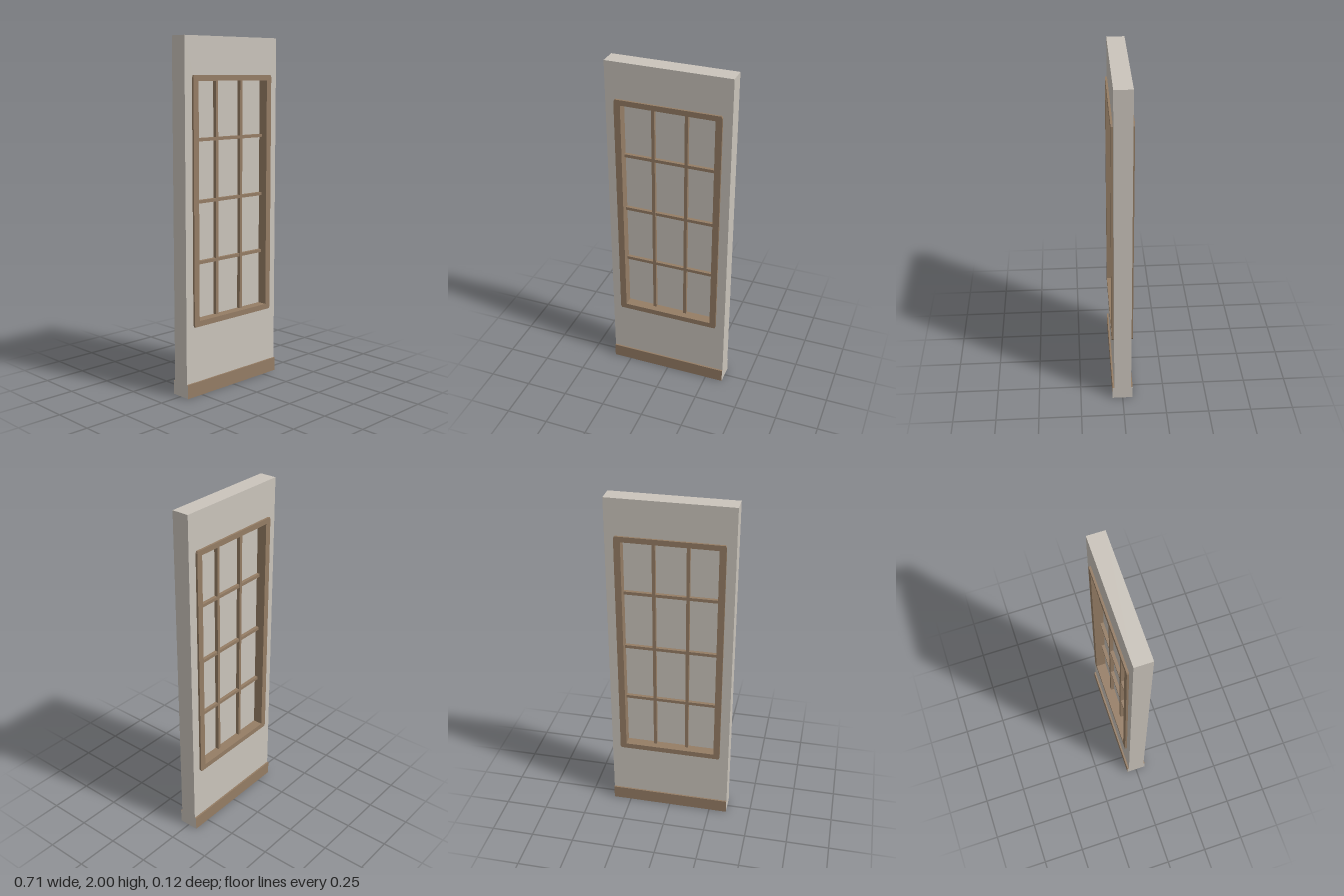
import * as THREE from 'three';

const wallMat = new THREE.MeshStandardMaterial({ name: 'wall grey', color: 0xcac4bb });
const trimMat = new THREE.MeshStandardMaterial({ name: 'trim brown', color: 0x957d65 });

function box(name, w, h, d, x, y, z, material) {
  const mesh = new THREE.Mesh(new THREE.BoxGeometry(w, h, d), material);
  mesh.name = name;
  mesh.position.set(x, y, z);
  return mesh;
}

const outline = (pts) => pts.map(([x, y]) => new THREE.Vector2(x, y));
const rect = (hw, y0, y1) => outline([[-hw, y0], [hw, y0], [hw, y1], [-hw, y1]]);

// Flat outline with one opening, extruded symmetrically about z = 0
function pierced(name, outer, hole, depth, material) {
  const shape = new THREE.Shape(outer);
  shape.holes.push(new THREE.Path(hole));
  const geo = new THREE.ExtrudeGeometry(shape, { depth, bevelEnabled: false });
  geo.translate(0, 0, -depth / 2);
  const mesh = new THREE.Mesh(geo, material);
  mesh.name = name;
  return mesh;
}

export function createModel() {
  const model = new THREE.Group();
  model.name = 'windowWall';

  // Wall panel above the baseboard, with the window opening
  const W = 0.356, baseH = 0.08;
  model.add(pierced('wall', rect(W, baseH, 2), rect(0.285, 0.42, 1.775), 0.1, wallMat));

  // Baseboard: trim on front, back and ledge, wall colour on ends and underside
  model.add(box('baseboard', W * 2, baseH, 0.12, 0, baseH / 2, 0,
    [wallMat, wallMat, trimMat, wallMat, trimMat, trimMat]));

  // Window frame with slightly clipped outer corners
  const fw = 0.304, y0 = 0.402, y1 = 1.791, c = 0.006;
  const frameOutline = outline([
    [-fw + c, y0], [fw - c, y0], [fw, y0 + c * 2], [fw, y1 - c * 2],
    [fw - c, y1], [-fw + c, y1], [-fw, y1 - c * 2], [-fw, y0 + c * 2],
  ]);
  const iw = 0.267, iy0 = 0.434, iy1 = 1.76;
  model.add(pierced('windowFrame', frameOutline, rect(iw, iy0, iy1), 0.124, trimMat));

  // Pane in the middle of the opening
  const midY = (iy0 + iy1) / 2;
  model.add(box('pane', iw * 2, iy1 - iy0, 0.008, 0, midY, 0, wallMat));

  // Glazing bars
  const bars = new THREE.Group();
  bars.name = 'glazingBars';
  for (const x of [-0.0955, 0.0955]) {
    bars.add(box('verticalBar', 0.018, iy1 - iy0, 0.05, x, midY, 0, trimMat));
  }
  for (const y of [0.755, 1.098, 1.441]) {
    bars.add(box('horizontalBar', iw * 2, 0.018, 0.048, 0, y, 0, trimMat));
  }
  model.add(bars);

  return model;
}
